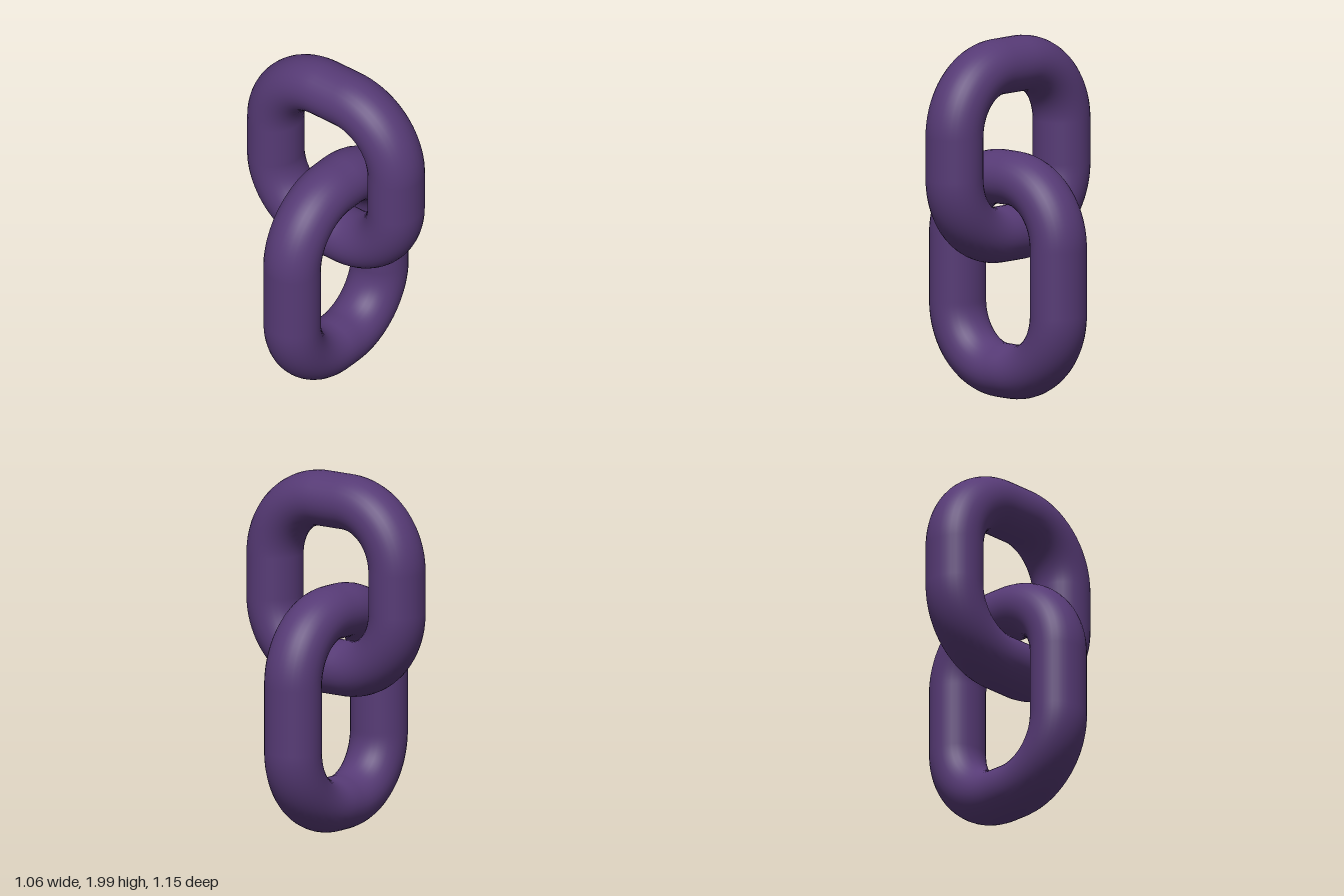
import * as THREE from 'three';

// Closed centreline: a rounded rectangle in the xy plane
class LinkCurve extends THREE.Curve {
  constructor(halfW, halfH, rx, ry) {
    super();
    Object.assign(this, { halfW, halfH, rx, ry });
    const sx = halfW - rx, sy = halfH - ry;
    const arc = (x, y, start) => new THREE.EllipseCurve(x, y, rx, ry, start, start + Math.PI / 2);
    const line = (x1, y1, x2, y2) => new THREE.LineCurve(new THREE.Vector2(x1, y1), new THREE.Vector2(x2, y2));
    this.path = new THREE.CurvePath();
    [
      line(halfW, -sy, halfW, sy), arc(sx, sy, 0),
      line(sx, halfH, -sx, halfH), arc(-sx, sy, Math.PI / 2),
      line(-halfW, sy, -halfW, -sy), arc(-sx, -sy, Math.PI),
      line(-sx, -halfH, sx, -halfH), arc(sx, -sy, Math.PI * 1.5),
    ].forEach((c) => this.path.add(c));
  }
  getPoint(t, target = new THREE.Vector3()) {
    const p = this.path.getPoint(((t % 1) + 1) % 1);
    return target.set(p.x, p.y, 0);
  }
}

// Link of a slightly oval section, thicker across its plane
function makeLink(name, material, halfW, halfH, radius, depth) {
  const curve = new LinkCurve(halfW, halfH, 0.34, 0.35);
  const geo = new THREE.TubeGeometry(curve, 128, radius, 32, true);
  geo.scale(1, 1, depth / radius);
  const mesh = new THREE.Mesh(geo, material);
  mesh.name = name;
  return mesh;
}

export function createModel() {
  const group = new THREE.Group();
  group.name = 'chainLinks';
  const purple = new THREE.MeshStandardMaterial({ color: 0x563a75 });
  purple.name = 'purple';

  // Lower link faces the front
  const lower = makeLink('lowerLink', purple, 0.381, 0.535, 0.149, 0.163);
  lower.position.y = 0.69;

  // Upper link is turned a quarter round
  const upper = makeLink('upperLink', purple, 0.422, 0.4645, 0.153, 0.163);
  upper.position.y = 1.3825;
  upper.rotation.y = Math.PI / 2;

  group.add(lower, upper);
  return group;
}
